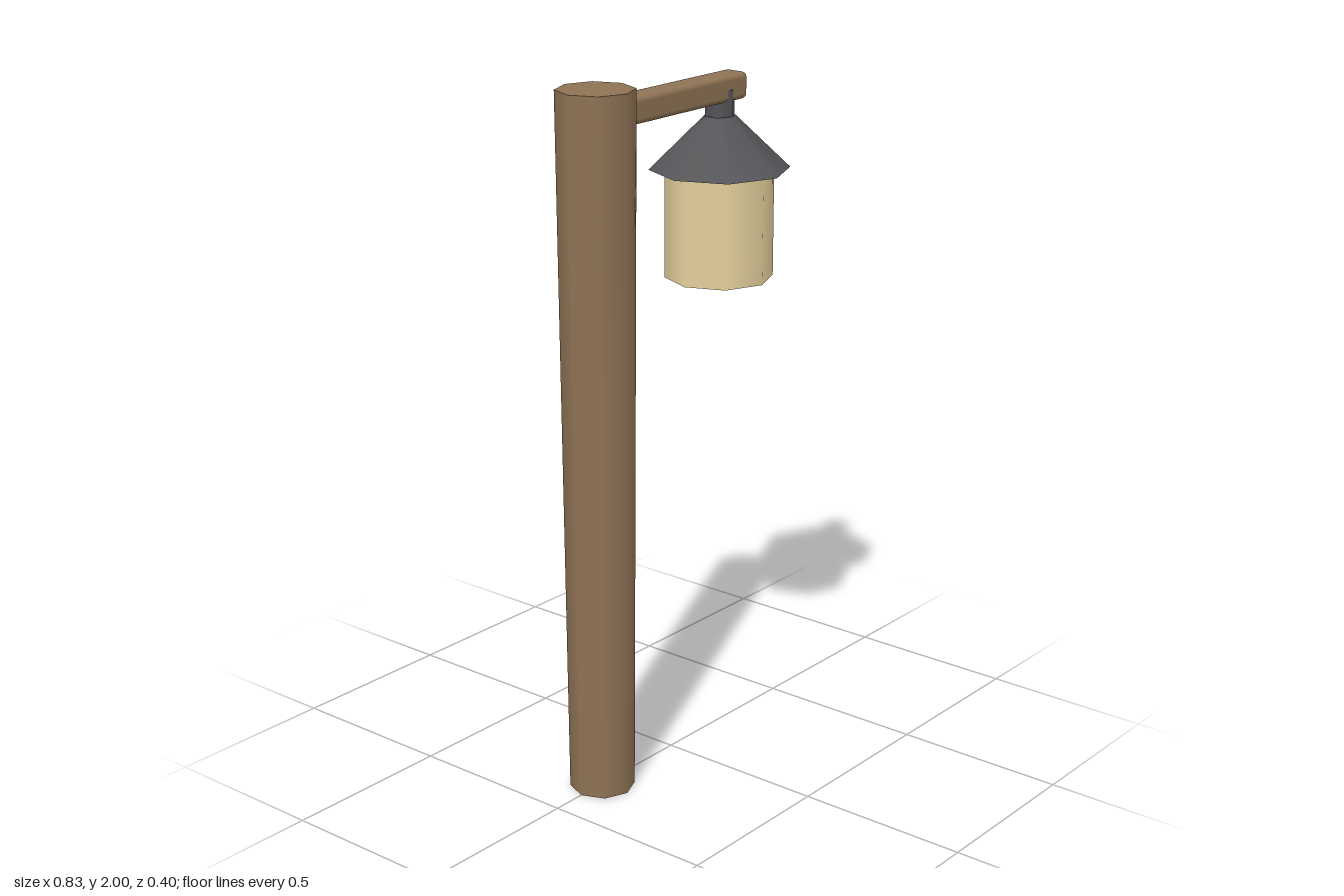
import * as THREE from 'three';
import { RoundedBoxGeometry } from 'three/addons/geometries/RoundedBoxGeometry.js';

const material = (color) => new THREE.MeshStandardMaterial({ color });

export function createModel() {
  const model = new THREE.Group();
  const wood = material(0x8f7355);
  const metal = material(0x56565a);
  const glass = material(0xe6d19c);

  const add = (name, geometry, mat, x, y) => {
    const mesh = new THREE.Mesh(geometry, mat);
    mesh.name = name;
    mesh.position.set(x, y, 0);
    model.add(mesh);
  };

  // Upright column between two heights, smooth shaded with few sides
  const column = (name, mat, x, y0, y1, rBottom, rTop, sides) =>
    add(name, new THREE.CylinderGeometry(rTop, rBottom, y1 - y0, sides), mat, x, (y0 + y1) / 2);

  const lampX = 0.213;

  // Post, slightly wider at the top
  column('post', wood, -0.308, 0, 2, 0.092, 0.107, 8);

  // Rounded arm reaching out from the post
  add('arm', new RoundedBoxGeometry(0.512, 0.075, 0.076, 3, 0.015), wood, 0.036, 1.927);

  // Hanging lantern
  column('hanger', metal, lampX, 1.84, 1.924, 0.044, 0.044, 6);
  column('shade', metal, lampX, 1.7, 1.85, 0.199, 0.044, 8);
  column('lantern', glass, lampX, 1.39, 1.71, 0.154, 0.154, 8);

  return model;
}
